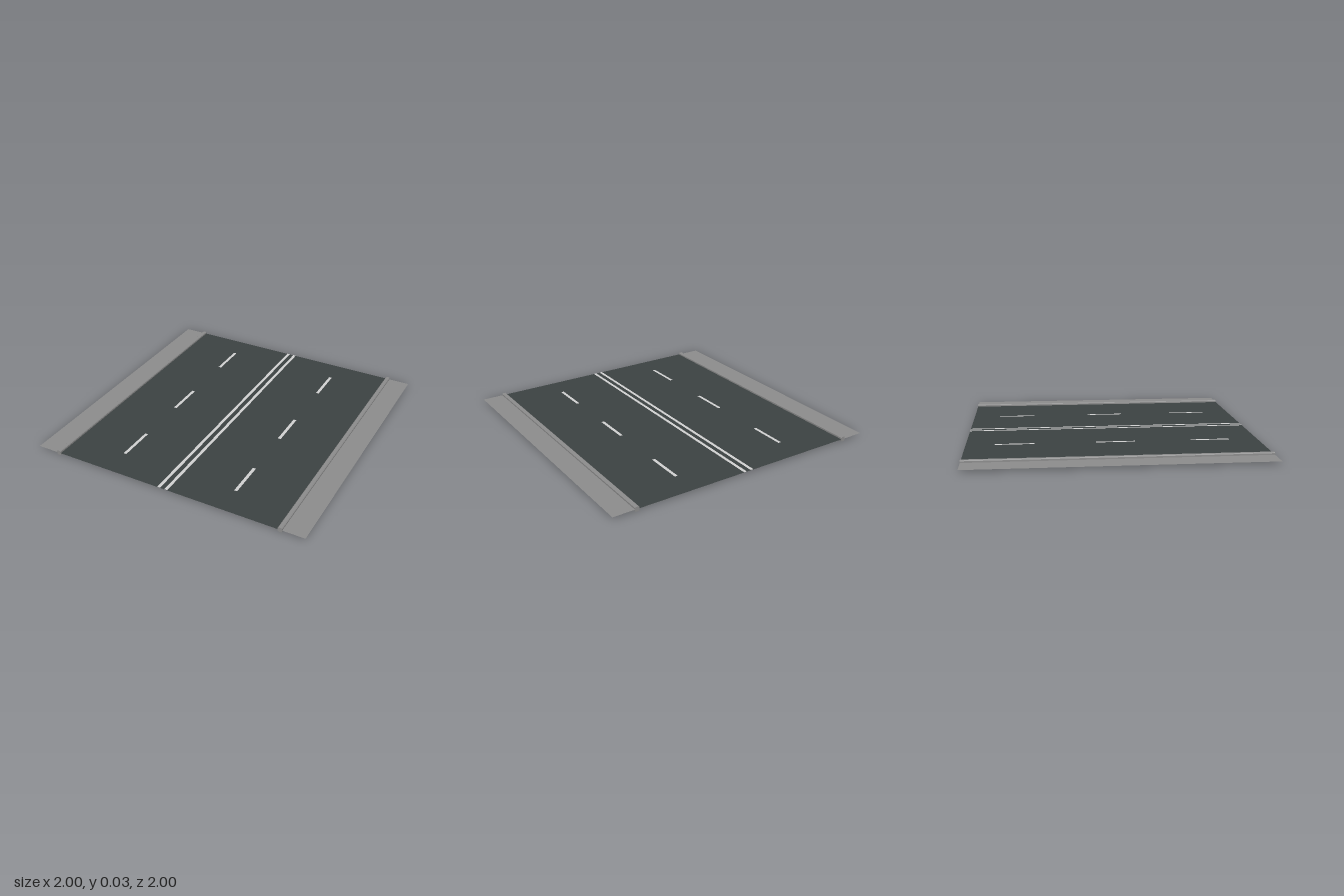
import * as THREE from 'three';

const SURFACE_Y = 0.017; // road and pavements lie at half the kerb height
const LENGTH = 2;

export function createModel() {
  const asphalt = new THREE.MeshStandardMaterial({ color: 0x3c4242, side: THREE.DoubleSide });
  asphalt.name = 'asphalt';
  const concrete = new THREE.MeshStandardMaterial({ color: 0x8c8c8c, side: THREE.DoubleSide });
  concrete.name = 'concrete';
  const paint = new THREE.MeshStandardMaterial({ color: 0xd0d0d0 });
  paint.name = 'roadPaint';

  const model = new THREE.Group();
  model.name = 'roadSection';

  // Flat rectangle facing up
  const sheet = (name, material, width, length, x, y, z = 0) => {
    const mesh = new THREE.Mesh(new THREE.PlaneGeometry(width, length).rotateX(-Math.PI / 2), material);
    mesh.name = name;
    mesh.position.set(x, y, z);
    model.add(mesh);
  };

  // Carriageway
  sheet('carriageway', asphalt, 1.67, LENGTH, 0, SURFACE_Y);

  // Kerb cross-section with slightly chamfered corners
  const w = 0.015, h = 0.033, c = 0.005;
  const profile = new THREE.Shape([
    [-w + c, 0], [w - c, 0], [w, c], [w, h - c],
    [w - c, h], [-w + c, h], [-w, h - c], [-w, c],
  ].map(([x, y]) => new THREE.Vector2(x, y)));
  const kerbGeometry = new THREE.ExtrudeGeometry(profile, { depth: LENGTH, bevelEnabled: false })
    .translate(0, 0, -LENGTH / 2);

  for (const [side, label] of [[1, 'left'], [-1, 'right']]) {
    // Pavement and kerb
    sheet(`${label}Pavement`, concrete, 0.165, LENGTH, side * 0.9175, SURFACE_Y);
    const kerb = new THREE.Mesh(kerbGeometry, concrete);
    kerb.name = `${label}Kerb`;
    kerb.position.x = side * 0.833;
    model.add(kerb);

    // Double centre line and lane dashes
    sheet(`${label}CentreLine`, paint, 0.022, LENGTH, side * 0.027, SURFACE_Y + 0.002);
    for (const z of [-0.671, 0.013, 0.666]) {
      sheet(`${label}LaneDash`, paint, 0.022, 0.268, side * 0.427, SURFACE_Y + 0.002, z);
    }
  }
  return model;
}
